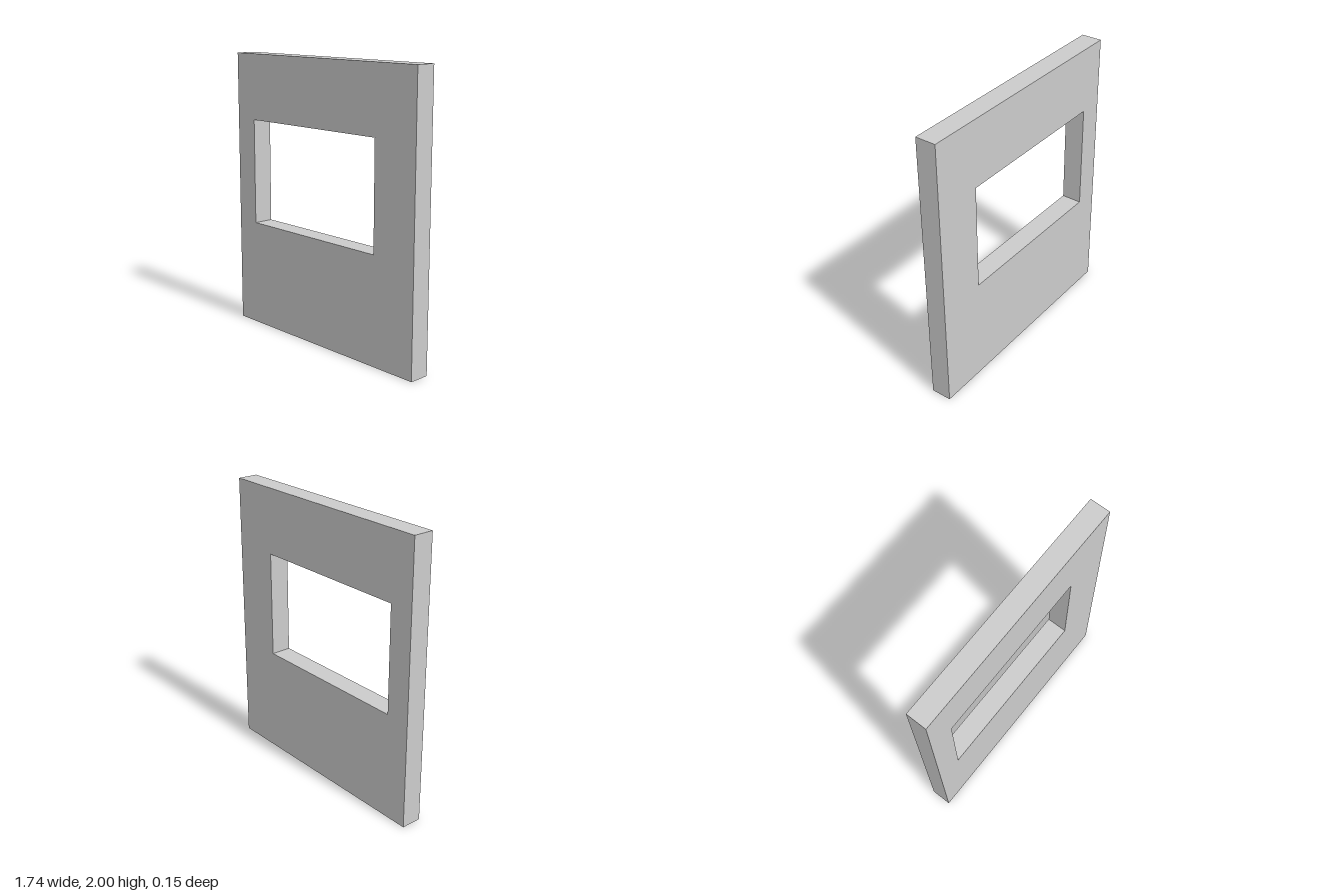
import * as THREE from 'three';

const HALF_WIDTH = 0.872, HEIGHT = 2, DEPTH = 0.146;
const OPENING = { left: -0.693, right: 0.523, bottom: 0.767, top: 1.528 };

// Closed rectangular outline
function rectangle(path, x0, y0, x1, y1) {
  path.moveTo(x0, y0);
  path.lineTo(x1, y0);
  path.lineTo(x1, y1);
  path.lineTo(x0, y1);
  path.closePath();
  return path;
}

export function createModel() {
  const model = new THREE.Group();
  model.name = 'wallWithWindowOpening';

  // Wall panel with an off-centre window opening
  const outline = rectangle(new THREE.Shape(), -HALF_WIDTH, 0, HALF_WIDTH, HEIGHT);
  outline.holes.push(rectangle(new THREE.Path(), OPENING.left, OPENING.bottom, OPENING.right, OPENING.top));
  const geometry = new THREE.ExtrudeGeometry(outline, { depth: DEPTH, bevelEnabled: false });
  geometry.translate(0, 0, -DEPTH / 2);

  const wall = new THREE.Mesh(geometry, new THREE.MeshStandardMaterial({ color: 0xcccccc }));
  wall.name = 'wallPanel';
  model.add(wall);
  return model;
}
